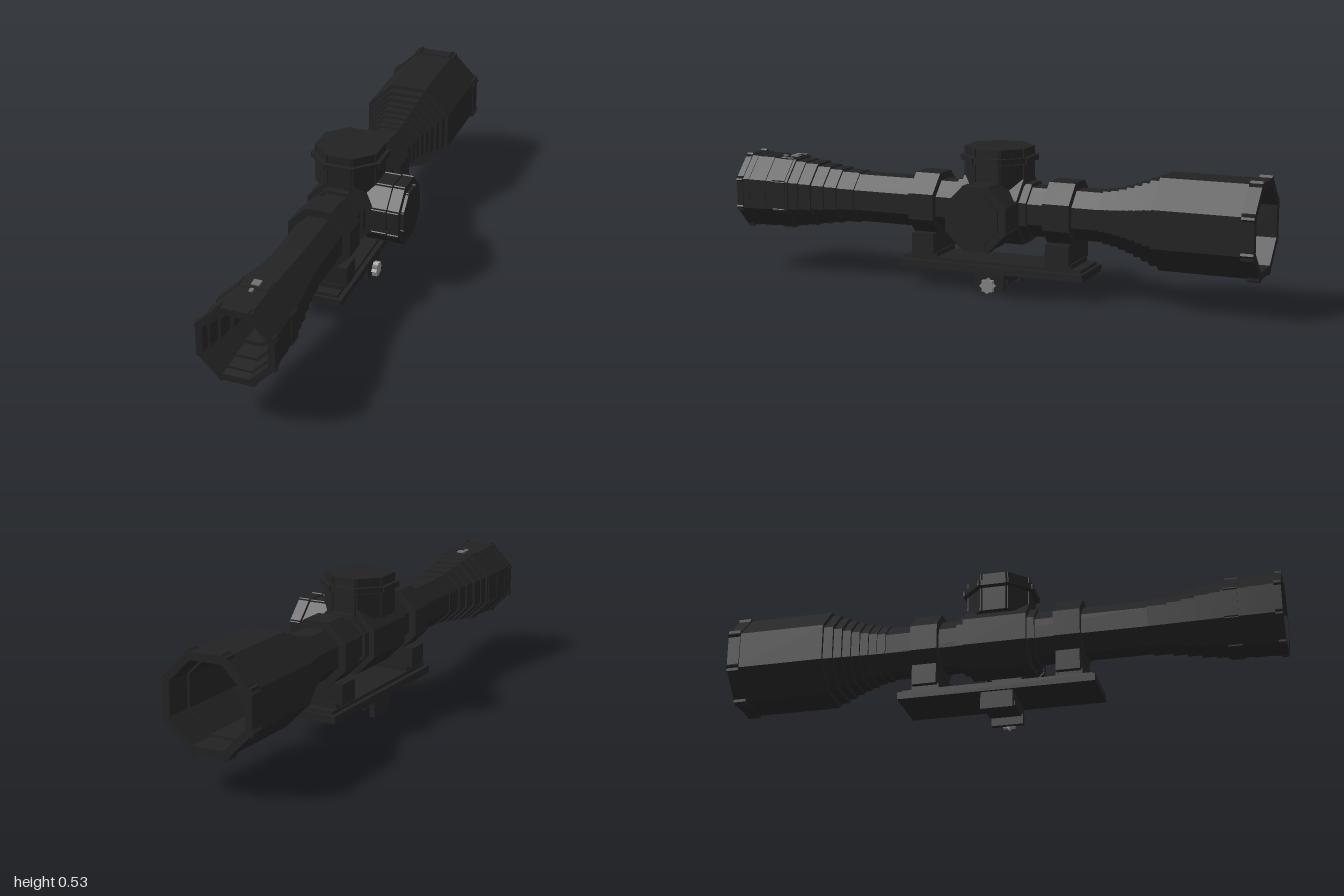
import * as THREE from 'three';

const AX = -0.03, AY = 0.3, CZ = -0.016; // optical axis and turret centre
const K = 1 / Math.cos(Math.PI / 8);     // apothem to corner radius

export function createModel() {
  const root = new THREE.Group();
  const mat = (name, color) => {
    const m = new THREE.MeshStandardMaterial({ color, flatShading: true });
    m.name = name;
    return m;
  };
  const black = mat('matte black', 0x222222);
  const steel = mat('bolt steel', 0x858585);
  const grey = mat('marking grey', 0x707070);

  const add = (name, geo, m, x = 0, y = 0, z = 0, parent = root) => {
    const mesh = new THREE.Mesh(geo, m);
    mesh.name = name;
    mesh.position.set(x, y, z);
    parent.add(mesh);
    return mesh;
  };
  // Box given by its limits on each axis
  const slab = (name, x0, x1, y0, y1, z0, z1, m = black) =>
    add(name, new THREE.BoxGeometry(x1 - x0, y1 - y0, z1 - z0), m, (x0 + x1) / 2, (y0 + y1) / 2, (z0 + z1) / 2);
  // Octagonal tube along z from [z, apothem] pairs
  const octLathe = (name, profile) => {
    const pts = profile.map(([z, a]) => new THREE.Vector2(a * K, z));
    const geo = new THREE.LatheGeometry(pts, 8, Math.PI / 8).toNonIndexed();
    geo.rotateX(Math.PI / 2);
    geo.computeVertexNormals();
    return add(name, geo, black, AX, AY, 0);
  };
  // Turns [start, apothem] bands into a stepped outline
  const steps = (bands, end) => bands.flatMap(([z, a], i) => [[z, a], [i + 1 < bands.length ? bands[i + 1][0] : end, a]]);

  // Main tube: stepped outside, then the open bore back to the start
  const outside = steps([
    [-1, 0.16], [-0.96, 0.163], [-0.64, 0.15], [-0.605, 0.138], [-0.575, 0.126], [-0.545, 0.116],
    [-0.515, 0.107], [-0.485, 0.099], [-0.455, 0.094], [-0.425, 0.088], [0.53, 0.093], [0.6, 0.1],
    [0.65, 0.107], [0.7, 0.116], [0.75, 0.121], [0.79, 0.128], [0.88, 0.131], [0.95, 0.133],
  ], 1);
  const bore = [
    [1, 0.112], [0.97, 0.108], [0.97, 0.1], [0.92, 0.095], [0.92, 0.085], [0.86, 0.08], [0.86, 0.066],
    [-0.45, 0.066], [-0.5, 0.085], [-0.6, 0.11], [-0.66, 0.13], [-0.9, 0.132], [-0.9, 0.14], [-1, 0.14], [-1, 0.16],
  ];
  octLathe('scopeTube', [...outside, ...bore]);

  // Central housing
  octLathe('centralHousing', [[-0.158, 0.08], ...steps([[-0.158, 0.1], [-0.13, 0.12]], 0.1),
    [0.1, 0.1], [0.126, 0.1], [0.126, 0.08]]);

  // End rims: eight overlapping plates whose corners stick out
  const rim = (name, a, halfWidth, thick, z0, z1) => {
    const g = new THREE.Group();
    g.name = name;
    g.position.set(AX, AY, (z0 + z1) / 2);
    for (let i = 0; i < 8; i++) {
      const t = (i * Math.PI) / 4;
      const p = add('rimPlate', new THREE.BoxGeometry(thick, halfWidth * 2, z1 - z0), black,
        Math.cos(t) * (a - thick / 2), Math.sin(t) * (a - thick / 2), 0, g);
      p.rotation.z = t;
    }
    root.add(g);
  };
  rim('objectiveRim', 0.167, 0.08, 0.022, -1, -0.955);
  rim('eyepieceRim', 0.136, 0.064, 0.02, 0.975, 1);
  rim('eyepieceBand', 0.131, 0.058, 0.02, 0.8, 0.85);

  // Knob: stacked discs, each made of four crossing bars, along y
  const knob = (name, layers) => {
    const g = new THREE.Group();
    g.name = name;
    for (const [y0, y1, a] of layers) {
      for (let i = 0; i < 4; i++) {
        const bar = add('knobDisc', new THREE.BoxGeometry(a * 2, y1 - y0, a * 0.9), black, 0, (y0 + y1) / 2, 0, g);
        bar.rotation.y = (i * Math.PI) / 4;
      }
    }
    root.add(g);
    return g;
  };
  const top = knob('elevationTurret', [
    [0.08, 0.17, 0.115], [0.17, 0.178, 0.1], [0.175, 0.195, 0.129], [0.195, 0.226, 0.115],
  ]);
  top.position.set(AX, AY, CZ);
  const side = knob('windageTurret', [
    [0.08, 0.175, 0.113], [0.175, 0.181, 0.1], [0.181, 0.222, 0.115], [0.222, 0.233, 0.088],
  ]);
  side.position.set(AX, AY - 0.005, CZ);
  side.rotation.z = -Math.PI / 2;

  // Mounting rings with their feet
  for (const [z0, z1] of [[0.198, 0.294], [-0.325, -0.226]]) {
    octLathe('mountRing', [[z0, 0.08], [z0, 0.115], [z1, 0.115], [z1, 0.08]]);
    slab('ringBlock', AX - 0.1, AX + 0.1, 0.125, 0.2, z0 + 0.005, z1 - 0.005);
    slab('ringFoot', AX - 0.08, AX + 0.08, 0.1, 0.13, z0, z1);
  }

  // Base rail and clamp
  slab('railTop', AX - 0.083, AX + 0.083, 0.09, 0.112, -0.36, 0.33);
  slab('railPlate', AX - 0.1, AX + 0.1, 0.073, 0.1, -0.372, 0.342);
  slab('clampBody', AX - 0.09, AX + 0.09, 0.048, 0.08, -0.07, 0.046);
  slab('clampTongue', -0.08, 0.02, 0.03, 0.05, -0.07, 0.046);
  slab('clampJaw', -0.12, -0.1, 0.01, 0.08, -0.07, 0.046);
  slab('clampJaw', 0.042, 0.061, 0.01, 0.08, -0.07, 0.046);

  // Star-shaped clamp bolt
  for (let i = 0; i < 2; i++) {
    const b = add('clampBolt', new THREE.BoxGeometry(0.022, 0.041, 0.041), steel, 0.07, 0.029, -0.012);
    b.rotation.x = (i * Math.PI) / 4;
  }

  // Index marks on top of the eyepiece
  slab('indexMark', AX - 0.014, AX + 0.014, 0.43, 0.436, 0.805, 0.835, grey);
  slab('indexMarkSmall', AX - 0.006, AX + 0.006, 0.428, 0.434, 0.855, 0.872, grey);
  return root;
}
